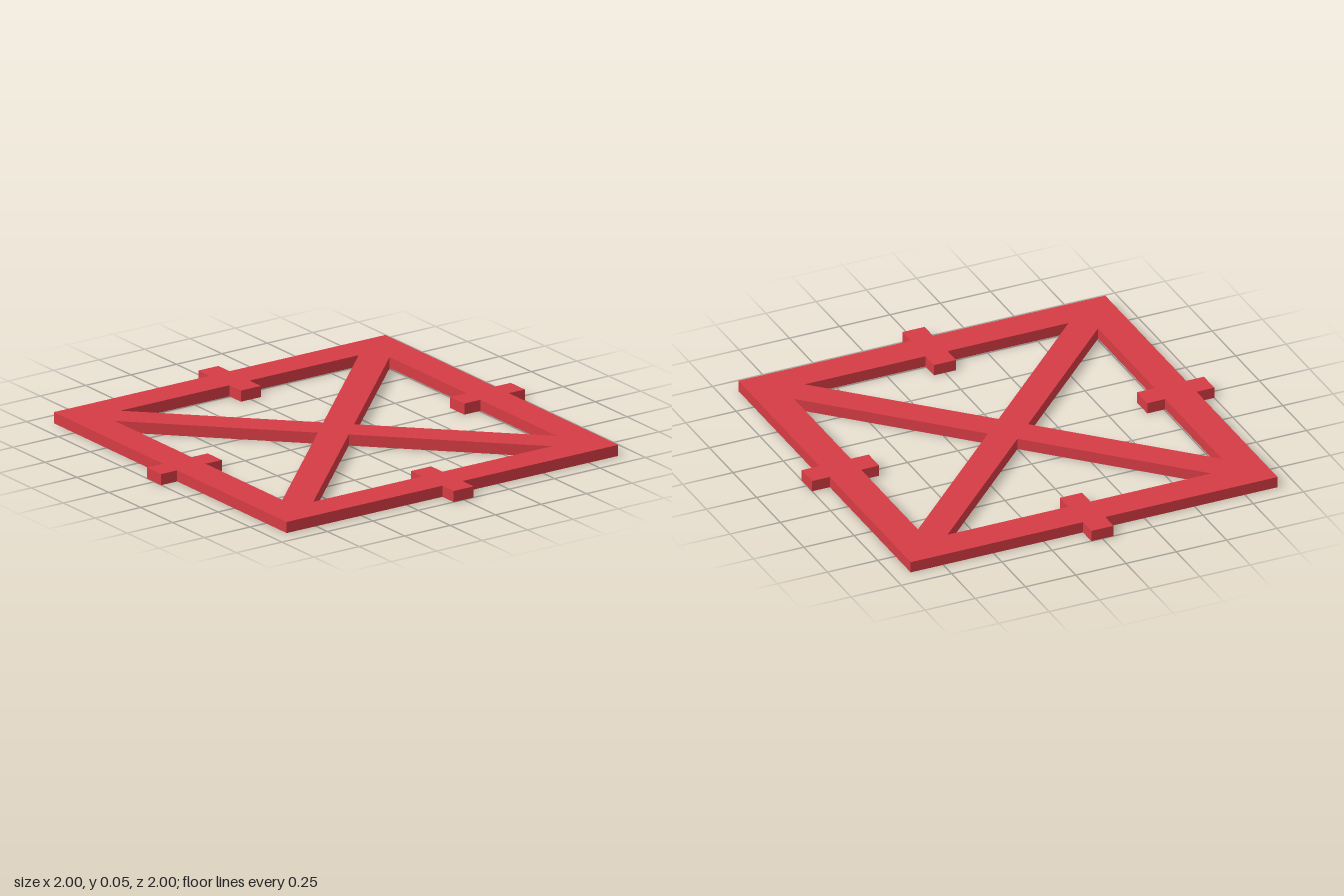
import * as THREE from 'three';

const HEIGHT = 0.053;
const OUTER = 0.912;   // half size of the square frame
const INNER = 0.756;   // half size of the opening
const BRACE = 0.1;     // offset of the diagonal brace edges from the centre
const TAB = 0.055;     // half width of the tabs
const TAB_IN = 0.667;
const TAB_OUT = 1;

const v = (x, y) => new THREE.Vector2(x, y);

// Turn plan points by a number of quarter turns
function turn(points, quarters) {
  let result = points;
  for (let i = 0; i < quarters; i++) result = result.map((p) => v(-p.y, p.x));
  return result;
}

// Upright strip along a closed plan contour
function wallGeometry(points) {
  const pos = [];
  points.forEach((a, i) => {
    const b = points[(i + 1) % points.length];
    pos.push(a.x, 0, -a.y, b.x, 0, -b.y, b.x, HEIGHT, -b.y);
    pos.push(a.x, 0, -a.y, b.x, HEIGHT, -b.y, a.x, HEIGHT, -a.y);
  });
  const geo = new THREE.BufferGeometry();
  geo.setAttribute('position', new THREE.Float32BufferAttribute(pos, 3));
  geo.computeVertexNormals();
  return geo;
}

export function createModel() {
  const group = new THREE.Group();
  group.name = 'bracedFrame';
  const red = new THREE.MeshStandardMaterial({ color: 0xd63c44, side: THREE.DoubleSide });
  red.name = 'red';

  const add = (name, geometry) => {
    const mesh = new THREE.Mesh(geometry, red);
    mesh.name = name;
    group.add(mesh);
  };

  // One side of the outline with its outer tab, and one triangular opening with its inner tab
  const side = [
    v(OUTER, -OUTER), v(OUTER, -TAB), v(TAB_OUT, -TAB), v(TAB_OUT, TAB), v(OUTER, TAB),
  ];
  const opening = [
    v(BRACE, 0), v(INNER, BRACE - INNER), v(INNER, -TAB), v(TAB_IN, -TAB),
    v(TAB_IN, TAB), v(INNER, TAB), v(INNER, INNER - BRACE),
  ].reverse();

  const quarters = [0, 1, 2, 3];
  const outline = quarters.flatMap((q) => turn(side, q));
  const openings = quarters.map((q) => turn(opening, q));

  // Top plate: frame, tabs and crossed braces; the underside is left hollow
  const plate = new THREE.Shape(outline);
  openings.forEach((points) => plate.holes.push(new THREE.Path(points)));
  add('topPlate', new THREE.ShapeGeometry(plate).rotateX(-Math.PI / 2).translate(0, HEIGHT, 0));

  // Walls around the outside and around each opening
  add('outerWall', wallGeometry(outline));
  openings.forEach((points, i) => add(`openingWall${i + 1}`, wallGeometry(points)));

  return group;
}
